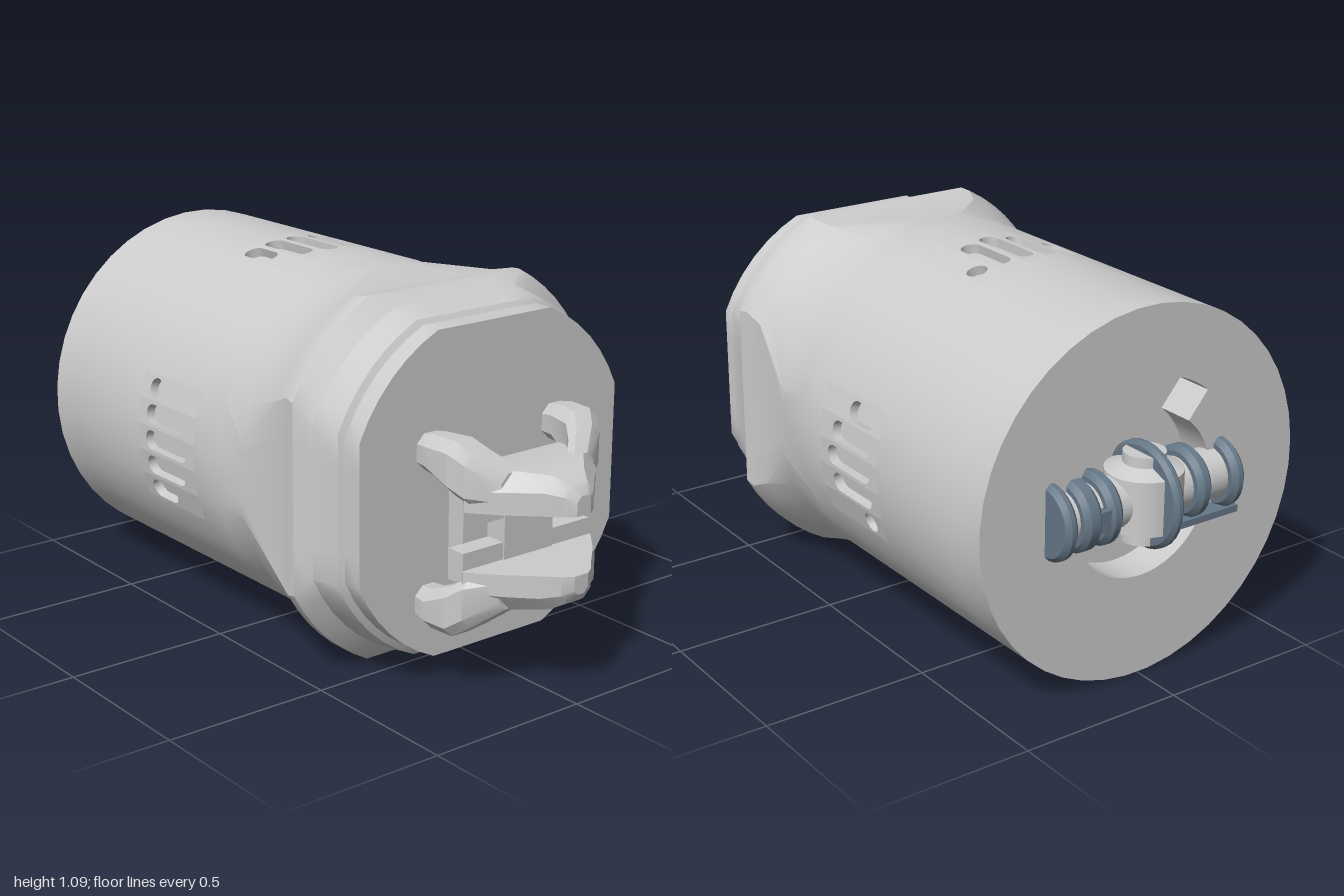
import * as THREE from 'three';
import { mergeGeometries, toCreasedNormals } from 'three/addons/utils/BufferGeometryUtils.js';

const grey = new THREE.MeshStandardMaterial({ color: 0xcccccc });
const blue = new THREE.MeshStandardMaterial({ color: 0x657786 });
const R = 0.545, CY = 0.545, A = 0.367, FLAT = 5, ARC = 6, V = THREE.Vector3;

function add(parent, name, geo, mat = grey, x = 0, y = 0, z = 0) {
  const m = new THREE.Mesh(geo, mat);
  m.name = name;
  m.position.set(x, y, z);
  parent.add(m);
  return m;
}

// Skin a list of counter-clockwise rings that run along +z
function loft(rings, { skip = () => false, back = true, front = true, crease = 0.5 } = {}) {
  const n = rings[0].length, pos = [], idx = [];
  rings.forEach(r => r.forEach(p => pos.push(p.x, p.y, p.z)));
  for (let i = 0; i < rings.length - 1; i++)
    for (let j = 0; j < n; j++) {
      if (skip(i, j)) continue;
      const a = i * n + j, b = i * n + (j + 1) % n;
      idx.push(a, b, b + n, a, b + n, a + n);
    }
  const last = (rings.length - 1) * n;
  for (let j = 1; j < n - 1; j++) {
    if (back) idx.push(0, j + 1, j);
    if (front) idx.push(last, last + j, last + j + 1);
  }
  const g = new THREE.BufferGeometry();
  g.setAttribute('position', new THREE.Float32BufferAttribute(pos, 3));
  g.setIndex(idx);
  return toCreasedNormals(g, crease);
}

// Circle of radius r clipped by a square of half width w
function clippedCircle(z, w, r) {
  const a = w < r ? Math.acos(w / r) : A, pts = [];
  for (let q = 0; q < 4; q++)
    for (let k = 0; k < FLAT + ARC; k++) {
      const t = k < FLAT ? -a + 2 * a * k / FLAT : a + (Math.PI / 2 - 2 * a) * (k - FLAT) / ARC;
      const d = k < FLAT ? Math.min(r, w / Math.cos(t)) : r;
      const u = t + q * Math.PI / 2;
      pts.push(new V(d * Math.cos(u), d * Math.sin(u), z));
    }
  return pts;
}

// Rectangle with chamfered corners: centre x, bottom y0, top y1, half width w, chamfer c
function chamferRect([z, x, y0, y1, w, c]) {
  return [[w, y0 + c], [w, y1 - c], [w - c, y1], [c - w, y1],
    [-w, y1 - c], [-w, y0 + c], [c - w, y0], [w - c, y0]].map(([px, y]) => new V(x + px, y, z));
}

// One flat facet of the barrel pierced by a slot with a shallow floor
function ventStrip(angle, slotEnd) {
  const half = R * Math.sin(A / FLAT), dist = R * Math.cos(A / FLAT), r = 0.03;
  const s = new THREE.Shape([[-half, -0.35], [half, -0.35], [half, -0.05], [-half, -0.05]]
    .map(p => new THREE.Vector2(...p)));
  const hole = new THREE.Path();
  hole.absarc(0, -0.28, r, Math.PI, 2 * Math.PI, false);
  hole.absarc(0, slotEnd - r, r, 0, Math.PI, false);
  hole.closePath();
  s.holes.push(hole);
  const wall = new THREE.ExtrudeGeometry(s, { depth: 0.03, bevelEnabled: false, curveSegments: 8 });
  const floor = new THREE.PlaneGeometry(0.07, 0.26).translate(0, -0.2, 0.002).toNonIndexed();
  const g = mergeGeometries([wall, floor]);
  const out = new V(Math.cos(angle), Math.sin(angle), 0), axis = new V(0, 0, 1);
  const m = new THREE.Matrix4().makeBasis(new V().crossVectors(axis, out), axis, out);
  m.setPosition(out.multiplyScalar(dist - 0.03));
  return g.applyMatrix4(m);
}

function makeHousing() {
  const g = new THREE.Group();
  g.name = 'housing';
  g.position.y = CY;
  // Round barrel blending into a square collar with rounded corners
  const sections = [[-0.72, R, R], [-0.35, R, R], [-0.05, R, R], [0.07, R, R], [0.18, 0.536, 0.547],
    [0.33, 0.519, 0.58], [0.39, 0.531, 0.603], [0.425, 0.535, 0.603], [0.47, 0.503, 0.55],
    [0.565, 0.488, 0.535], [0.575, 0.473, 0.516], [0.636, 0.472, 0.515]];
  const skip = (i, j) => i === 1 && j % (FLAT + ARC) < FLAT;
  add(g, 'barrel', loft(sections.map(s => clippedCircle(...s)), { skip, back: false }));
  // Slots on four sides, the first one a round hole
  const ends = [-0.25, -0.11, -0.09, -0.11, -0.18], strips = [];
  for (let q = 0; q < 4; q++)
    ends.forEach((e, k) => strips.push(ventStrip(q * Math.PI / 2 + (k - 2) * 2 * A / FLAT, e)));
  add(g, 'ventSlots', mergeGeometries(strips));
  // Rear plate with a keyhole opening
  const plate = new THREE.Shape(clippedCircle(0, R, R).map(p => new THREE.Vector2(p.x, p.y)));
  const hole = new THREE.Path(), rad = Math.PI / 180;
  hole.absarc(0, 0, 0.24, 130 * rad, 410 * rad, false);
  hole.absarc(0, 0, 0.34, 50 * rad, 130 * rad, false);
  hole.closePath();
  plate.holes.push(hole);
  const geo = new THREE.ExtrudeGeometry(plate, { depth: 0.12, bevelEnabled: false, curveSegments: 32 });
  add(g, 'rearPlate', toCreasedNormals(geo, 0.5), grey, 0, 0, -0.84);
  add(g, 'rearPocketFloor', new THREE.CircleGeometry(0.4, 32).rotateY(Math.PI), grey, 0, 0, -0.725);
  return g;
}

// One jaw of the front clamp, measured from the clamp's middle height
function makeJaw() {
  const jaw = new THREE.Group();
  jaw.name = 'clampJaw';
  const nose = [[0.72, 0, 0.085, 0.185, 0.2, 0.03], [0.79, 0, 0.085, 0.195, 0.24, 0.05],
    [0.87, 0, 0.085, 0.198, 0.17, 0.05], [0.94, 0, 0.085, 0.19, 0.095, 0.04],
    [0.98, 0, 0.085, 0.165, 0.055, 0.025], [1.0, 0, 0.085, 0.14, 0.025, 0.015]];
  // Underside stays flat while the top corners are chamfered
  const rings = nose.map(s => chamferRect(s).map(p => { if (p.y < s[2] + s[5] + 0.001) p.y = s[2]; return p; }));
  add(jaw, 'jawNose', loft(rings));
  for (const s of [-1, 1]) {
    const leg = [[0.63, 0.23, 0.17, 0.27, 0.045, 0.025], [0.68, 0.232, 0.165, 0.28, 0.052, 0.03],
      [0.76, 0.218, 0.13, 0.28, 0.06, 0.03], [0.8, 0.19, 0.1, 0.25, 0.06, 0.03],
      [0.86, 0.12, 0.09, 0.195, 0.05, 0.025]];
    add(jaw, 'jawLeg', loft(leg.map(([z, x, ...r]) => chamferRect([z, s * x, ...r]))));
    add(jaw, 'jawLip', new THREE.BoxGeometry(0.145, 0.09, 0.06), grey, s * 0.1625, 0.08, 0.755);
  }
  return jaw;
}

function makeClamp() {
  const g = new THREE.Group();
  g.name = 'frontClamp';
  g.position.y = 0.466;
  const lower = makeJaw();
  lower.rotation.z = Math.PI;
  g.add(makeJaw(), lower);
  add(g, 'clampPost', new THREE.BoxGeometry(0.18, 0.3, 0.07), grey, 0, 0, 0.755);
  add(g, 'clampBlock', new THREE.BoxGeometry(0.35, 0.31, 0.06), grey, 0, 0, 0.685);
  return g;
}

// Disc with softened rims, its axis along x
function disc(r, w) {
  const b = Math.min(0.015, w / 3), h = w / 2;
  const pts = [[0, -h], [r - b, -h], [r, b - h], [r, h - b], [r - b, h], [0, h]];
  const g = new THREE.LatheGeometry(pts.map(p => new THREE.Vector2(...p)), 32);
  return toCreasedNormals(g.rotateZ(-Math.PI / 2), 0.6);
}

function makeRearShaft() {
  const g = new THREE.Group();
  g.name = 'rearShaft';
  g.position.set(0, 0.55, -0.83);
  // Crosswise grey hub carrying the blue discs
  add(g, 'hub', disc(0.075, 0.6), grey, 0.015);
  [[-0.272, 0.045], [-0.15, 0.05], [0.16, 0.05], [0.235, 0.06], [0.313, 0.04]]
    .forEach(([x, w]) => add(g, 'collarDisc', disc(x > 0.3 ? 0.112 : 0.105, w), blue, x));
  add(g, 'collarBridge', new THREE.BoxGeometry(0.1, 0.06, 0.1), blue, 0.2, 0, -0.045);
  add(g, 'lowerTray', new THREE.BoxGeometry(0.22, 0.02, 0.13), blue, -0.19, -0.1, 0);
  // Upright grey pivot with a thin fin through it
  const pivot = [[0, -0.13], [0.06, -0.13], [0.06, -0.1], [0.11, -0.08], [0.11, 0.08],
    [0.06, 0.1], [0.06, 0.13], [0, 0.13]].map(p => new THREE.Vector2(...p));
  add(g, 'pivot', toCreasedNormals(new THREE.LatheGeometry(pivot, 28), 0.5), grey, 0, 0, -0.01);
  add(g, 'fin', disc(0.154, 0.035), blue, 0, 0.003, -0.016);
  return g;
}

export function createModel() {
  const model = new THREE.Group();
  model.name = 'clampedCanister';
  model.add(makeHousing(), makeClamp(), makeRearShaft());
  return model;
}
